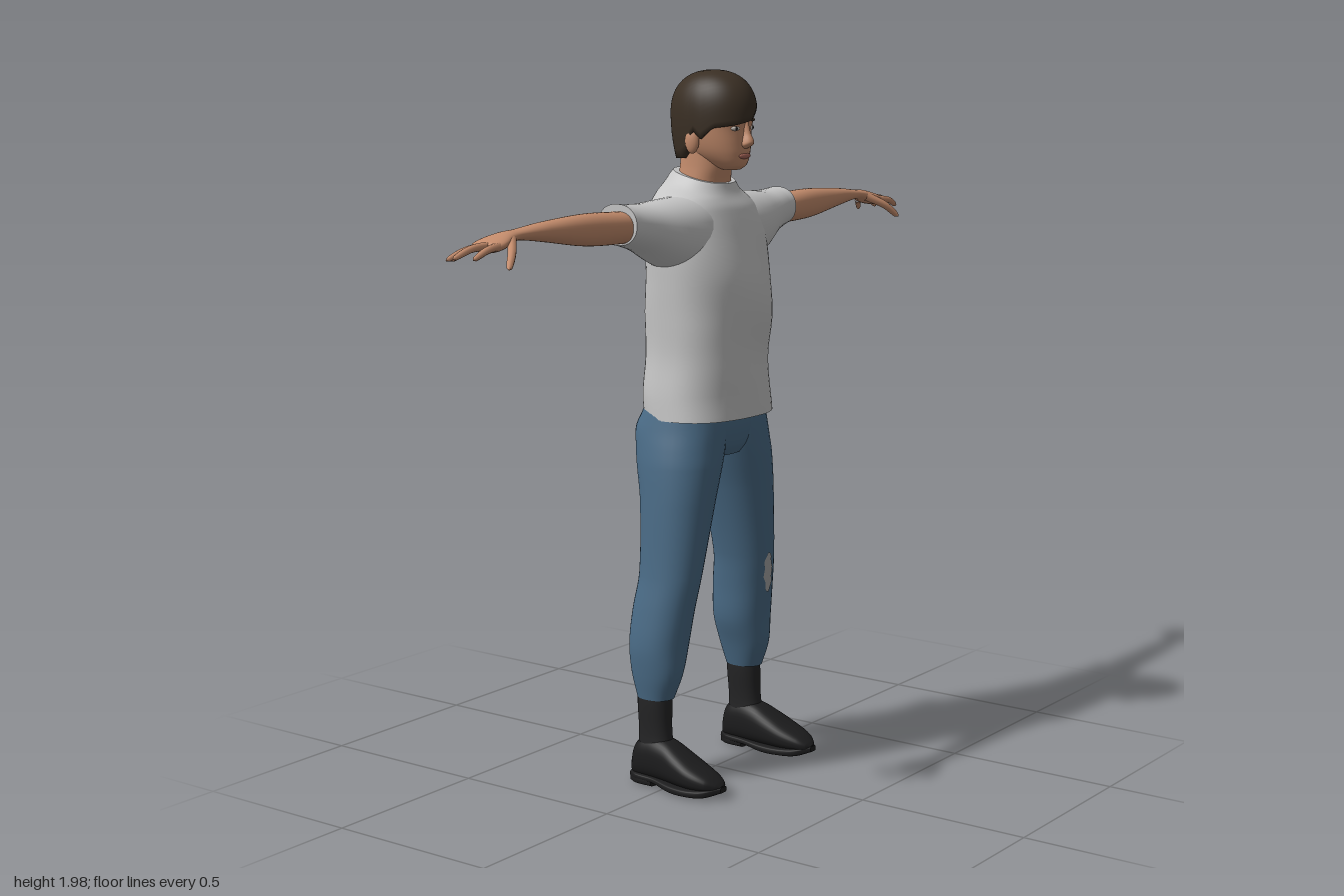
import * as THREE from 'three';

const paint = (name, color, side = THREE.FrontSide) => {
  const m = new THREE.MeshStandardMaterial({ color, side });
  m.name = name;
  return m;
};
const shirtGrey = paint('shirtGrey', 0xc6c6c6), denim = paint('denim', 0x4a6b86);
const skin = paint('skin', 0xc48c6c), hairBrown = paint('hairBrown', 0x3a2f24, THREE.DoubleSide);
const sockBlack = paint('sockBlack', 0x242425), bootBlack = paint('bootBlack', 0x1c1c1d);
const patchGrey = paint('patchGrey', 0xa8a8a8, THREE.DoubleSide), lipRed = paint('lipRed', 0xa8675a);
const eyeWhite = paint('eyeWhite', 0xcfc6be);

// Smooth cross-section at position k; each section is [k, aMin, aMax, bMin, bMax]
function sample(sec, k) {
  const n = sec.length - 1;
  let i = 0;
  while (i < n - 1 && k > sec[i + 1][0]) i++;
  const slope = (j, c) => {
    const p = sec[Math.max(j - 1, 0)], q = sec[Math.min(j + 1, n)];
    return (q[c] - p[c]) / (q[0] - p[0]);
  };
  const h = sec[i + 1][0] - sec[i][0], t = (k - sec[i][0]) / h, t2 = t * t, t3 = t2 * t;
  return [1, 2, 3, 4].map(c => (2 * t3 - 3 * t2 + 1) * sec[i][c] + (t3 - 2 * t2 + t) * h * slope(i, c)
    + (3 * t2 - 2 * t3) * sec[i + 1][c] + (t3 - t2) * h * slope(i + 1, c));
}

// Closed loft of rounded cross-sections along one axis, with an optional vertex rule
function loft(axis, sections, { sides = 36, sub = 5, power = 2.2, warp } = {}) {
  const sec = [...sections].sort((p, q) => p[0] - q[0]);
  const pos = [], idx = [], ks = [];
  sec.forEach((s, i) => {
    if (i) for (let j = 1; j <= sub; j++) ks.push(sec[i - 1][0] + (s[0] - sec[i - 1][0]) * j / sub);
    else ks.push(s[0]);
  });
  const put = (a, b, k) => {
    const p = axis === 'y' ? [a, k, b] : axis === 'x' ? [k, a, b] : [a, b, k];
    pos.push(...(warp ? warp(...p) : p));
  };
  const round = v => Math.sign(v) * Math.abs(v) ** (2 / power);
  const ring = k => {
    const [a0, a1, b0, b1] = sample(sec, k);
    for (let j = 0; j < sides; j++) {
      const th = j / sides * Math.PI * 2;
      put((a0 + a1) / 2 + (a1 - a0) / 2 * round(Math.cos(th)), (b0 + b1) / 2 + (b1 - b0) / 2 * round(Math.sin(th)), k);
    }
  };
  const tri = (a, b, c) => (axis === 'y' ? idx.push(a, b, c) : idx.push(a, c, b));
  ks.forEach(ring);
  for (let i = 0; i < ks.length - 1; i++) for (let j = 0; j < sides; j++) {
    const a = i * sides + j, b = i * sides + (j + 1) % sides;
    tri(a, a + sides, b);
    tri(b, a + sides, b + sides);
  }
  // End caps
  [ks[0], ks[ks.length - 1]].forEach((k, end) => {
    const s = pos.length / 3, [a0, a1, b0, b1] = sample(sec, k);
    ring(k);
    put((a0 + a1) / 2, (b0 + b1) / 2, k);
    for (let j = 0; j < sides; j++) {
      const p = s + j, q = s + (j + 1) % sides;
      if (end) tri(p, s + sides, q); else tri(p, q, s + sides);
    }
  });
  return surface(pos, idx);
}

function surface(pos, idx) {
  const g = new THREE.BufferGeometry();
  g.setAttribute('position', new THREE.Float32BufferAttribute(pos, 3));
  g.setIndex(idx);
  g.computeVertexNormals();
  return g;
}

function mirrored(geo) {
  const g = geo.clone().scale(-1, 1, 1), ix = g.index;
  for (let i = 0; i < ix.count; i += 3) {
    const b = ix.getX(i + 1);
    ix.setX(i + 1, ix.getX(i + 2));
    ix.setX(i + 2, b);
  }
  return g;
}

// Tapered finger with a rounded tip
function finger(points, r) {
  const curve = new THREE.CatmullRomCurve3(points.map(p => new THREE.Vector3(...p)));
  const n = 14, m = 10, g = new THREE.TubeGeometry(curve, n, r, m), p = g.attributes.position, v = new THREE.Vector3();
  for (let i = 0; i <= n; i++) {
    const u = i / n, c = curve.getPointAt(u), s = (1 - 0.3 * u) * Math.sqrt(Math.max(0, 1 - u ** 12));
    for (let j = 0; j <= m; j++) {
      const q = i * (m + 1) + j;
      v.fromBufferAttribute(p, q).sub(c).multiplyScalar(s).add(c);
      p.setXYZ(q, v.x, v.y, v.z);
    }
  }
  return g;
}

const ball = (x, y, z, sx, sy, sz, ry = 0) =>
  new THREE.SphereGeometry(1, 20, 14).scale(sx, sy, sz).rotateY(ry).translate(x, y, z);

// Hair cap whose lower edge follows a fringe, sideburns and nape
function hairCap() {
  const edge = [[-180, 1.735], [-120, 1.74], [-103, 1.76], [-92, 1.82], [-80, 1.795], [-62, 1.825], [-30, 1.833], [0, 1.845],
    [22, 1.88], [45, 1.885], [62, 1.845], [78, 1.80], [92, 1.82], [103, 1.76], [120, 1.74], [180, 1.735]];
  const low = d => {
    let i = 0;
    while (i < edge.length - 2 && d > edge[i + 1][0]) i++;
    const [d0, y0] = edge[i], [d1, y1] = edge[i + 1];
    return y0 + (y1 - y0) * (d - d0) / (d1 - d0);
  };
  const pos = [], idx = [], N = 72, M = 16;
  for (let i = 0; i <= M + 1; i++) for (let j = 0; j < N; j++) {
    const d = j / N * 360 - 180, a = d * Math.PI / 180, e = low(d);
    const y = e + (1.978 - e) * Math.cos(Math.min(i / M, 1) * Math.PI / 2);
    const u = Math.max(0, (y - 1.86) / 0.118), t = Math.max(0, (1.86 - y) / 0.125);
    const r = Math.max(0, 1 - u ** 2.3) ** (1 / 2.3) * (1 - 0.13 * t * t) * (i > M ? 0.84 : 1);
    pos.push(-0.009 + 0.098 * r * Math.sin(a), y, 0.001 + 0.128 * r * Math.cos(a));
  }
  for (let i = 0; i <= M; i++) for (let j = 0; j < N; j++) {
    const a = i * N + j, b = i * N + (j + 1) % N;
    idx.push(a, a + N, b, b, a + N, b + N);
  }
  return surface(pos, idx);
}

export function createModel() {
  const model = new THREE.Group();
  const add = (name, geo, mat) => {
    const mesh = new THREE.Mesh(geo, mat);
    mesh.name = name;
    model.add(mesh);
  };
  const pair = (name, geo, mat) => {
    add('left' + name, geo, mat);
    add('right' + name, mirrored(geo), mat);
  };

  // Shirt, with soft folds and a collar that dips at the front
  add('shirtBody', loft('y', [[1.03, -.2, .2, -.172, .125], [1.1, -.196, .198, -.18, .121], [1.2, -.187, .187, -.18, .123],
    [1.3, -.19, .19, -.175, .13], [1.4, -.195, .195, -.17, .125], [1.48, -.198, .198, -.17, .11], [1.55, -.195, .195, -.168, .09],
    [1.6, -.18, .18, -.16, .072], [1.635, -.15, .15, -.15, .058], [1.66, -.113, .113, -.136, .05], [1.69, -.084, .084, -.118, .042]],
  { sides: 56, power: 2.35, warp: (x, y, z) => {
    const lift = THREE.MathUtils.smoothstep(y, 1.6, 1.69);
    return [x, y - (z + .035) * .25 * lift, z + (1 - lift) * .003 * Math.sin(24 * y + 14 * x)];
  } }), shirtGrey);
  pair('Sleeve', loft('x', [[.06, 1.43, 1.64, -.14, .07], [.13, 1.43, 1.64, -.14, .072], [.2, 1.455, 1.636, -.135, .06],
    [.28, 1.497, 1.63, -.125, .035], [.34, 1.517, 1.632, -.118, .02], [.372, 1.525, 1.635, -.115, .016]]), shirtGrey);

  // Jeans
  const leg = [[.25, .17, .256, -.106, .004], [.32, .15, .268, -.125, .028], [.4, .125, .274, -.135, .036], [.5, .115, .264, -.13, .05],
    [.6, .1, .25, -.118, .065], [.8, .046, .236, -.134, .08], [.9, .012, .227, -.158, .086], [.95, -.004, .218, -.17, .086],
    [1, -.01, .206, -.177, .085], [1.05, -.01, .195, -.155, .08]];
  pair('TrouserLeg', loft('y', leg, { power: 2.15 }), denim);
  add('trouserSeat', loft('y', [[.92, -.1, .1, -.13, .06], [.95, -.17, .17, -.155, .075], [1, -.2, .2, -.168, .083], [1.05, -.19, .19, -.15, .08]]), denim);

  // Worn patch lying on the left knee
  const patch = new THREE.CircleGeometry(1, 28), pp = patch.attributes.position;
  for (let i = 0; i < pp.count; i++) {
    const u = pp.getX(i), v = pp.getY(i), y = .545 + .062 * v, x = .177 + .017 * u - .012 * v + .003 * Math.sin(9 * v);
    const [a0, a1, b0, b1] = sample(leg, y), s = Math.abs((2 * x - a0 - a1) / (a1 - a0));
    pp.setXYZ(i, x, y, (b0 + b1) / 2 + (b1 - b0) / 2 * (1 - s ** 2.15) ** (1 / 2.15) + .003);
  }
  patch.computeVertexNormals();
  add('kneePatch', patch, patchGrey);

  // Boots: shaft, upper, sole and heel
  pair('BootShaft', loft('y', [[.09, .178, .256, -.103, .012], [.15, .18, .252, -.1, 0], [.25, .173, .255, -.104, -.004], [.28, .18, .248, -.095, -.012]]), sockBlack);
  pair('BootUpper', loft('z', [[-.117, .195, .242, .02, .075], [-.1, .18, .256, .016, .12], [-.05, .172, .263, .016, .14], [0, .168, .268, .016, .135],
    [.05, .167, .277, .016, .112], [.1, .17, .28, .016, .087], [.15, .182, .268, .018, .064], [.175, .196, .247, .02, .048], [.185, .212, .232, .025, .038]], { power: 2.5 }), bootBlack);
  pair('BootSole', loft('z', [[-.119, .19, .246, .012, .032], [-.09, .175, .261, .012, .032], [-.03, .17, .264, .012, .03], [.04, .163, .281, .002, .026],
    [.1, .165, .285, .002, .026], [.15, .178, .272, .006, .03], [.188, .208, .236, .02, .036]], { power: 4 }), bootBlack);
  pair('BootHeel', loft('z', [[-.118, .19, .246, 0, .025], [-.09, .175, .261, 0, .025], [-.035, .173, .262, 0, .025]], { power: 4 }), bootBlack);

  // Arms and hands
  pair('Arm', loft('x', [[.3, 1.53, 1.612, -.095, 0], [.38, 1.53, 1.616, -.093, .005], [.52, 1.536, 1.62, -.085, -.003], [.68, 1.56, 1.611, -.08, -.015],
    [.78, 1.572, 1.6, -.075, -.025], [.82, 1.565, 1.597, -.084, -.02], [.86, 1.553, 1.588, -.1, -.008], [.89, 1.549, 1.579, -.1, -.012], [.9, 1.556, 1.572, -.09, -.02]]), skin);
  pair('Thumb', finger([[.82, 1.578, -.03], [.865, 1.55, .01], [.905, 1.513, .034]], .013), skin);
  pair('IndexFinger', finger([[.87, 1.568, -.022], [.93, 1.56, -.016], [.975, 1.54, -.02]], .011), skin);
  pair('MiddleFinger', finger([[.87, 1.568, -.045], [.945, 1.563, -.054], [.998, 1.541, -.066]], .0115), skin);
  pair('RingFinger', finger([[.87, 1.566, -.066], [.935, 1.556, -.085], [.985, 1.535, -.1]], .011), skin);
  pair('LittleFinger', finger([[.86, 1.564, -.086], [.9, 1.55, -.11], [.935, 1.528, -.13]], .0095), skin);

  // Neck and head
  add('neck', loft('y', [[1.6, -.08, .075, -.12, .035], [1.67, -.074, .07, -.107, .034], [1.72, -.07, .058, -.1, .045], [1.8, -.07, .055, -.09, .05]]), skin);
  add('head', loft('y', [[1.71, -.03, .014, .035, .084], [1.722, -.048, .032, -.005, .1], [1.75, -.069, .053, -.06, .107], [1.78, -.081, .065, -.085, .108],
    [1.82, -.089, .073, -.1, .108], [1.86, -.092, .076, -.108, .114], [1.9, -.086, .07, -.105, .108], [1.94, -.062, .046, -.075, .07]], { power: 2.3 }), skin);
  add('nose', loft('y', [[1.768, -.018, .002, .085, .11], [1.777, -.025, .009, .085, .126], [1.787, -.024, .008, .085, .132],
    [1.81, -.018, .002, .085, .122], [1.845, -.016, 0, .085, .113]], { sides: 20 }), skin);
  add('mouth', ball(-.008, 1.748, .104, .026, .008, .007), lipRed);
  for (const s of [-1, 1]) {
    const side = s > 0 ? 'left' : 'right', x = -.008 + s * .038;
    add(side + 'Eye', ball(x, 1.823, .099, .014, .006, .005, s * .35), eyeWhite);
    add(side + 'Pupil', ball(x, 1.823, .102, .005, .0055, .004, s * .35), bootBlack);
    add(side + 'Brow', ball(x, 1.844, .103, .02, .004, .005, s * .38), hairBrown);
    add(side + 'Ear', ball(-.008 + s * .086, 1.788, -.01, .012, .034, .02, s * -.25), skin);
  }
  add('hair', hairCap(), hairBrown);
  return model;
}
